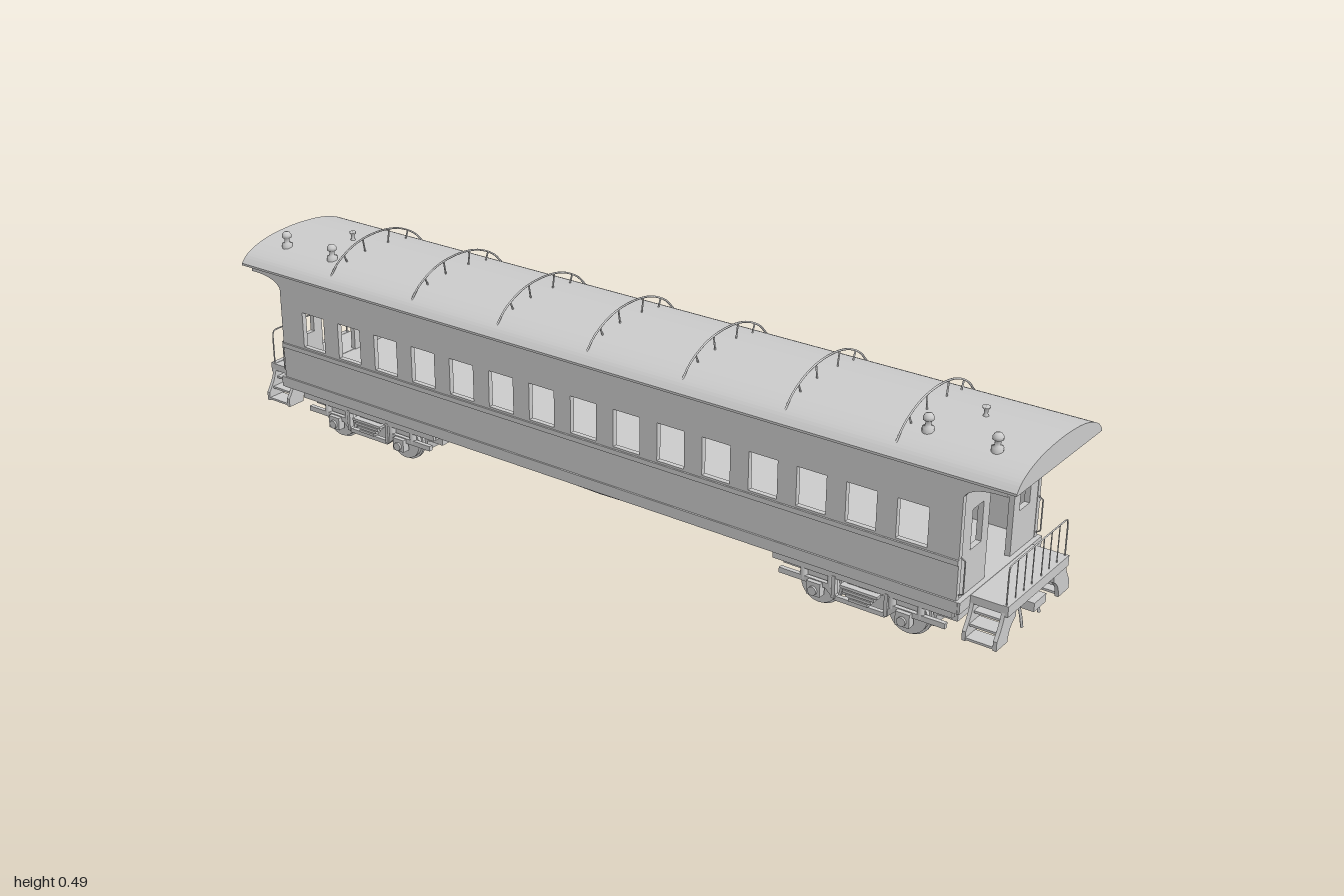
import * as THREE from 'three';

const mat = new THREE.MeshStandardMaterial({ color: 0xcccccc, side: THREE.DoubleSide });

function add(parent, name, geo, x = 0, y = 0, z = 0) {
  const m = new THREE.Mesh(geo, mat);
  m.name = name;
  m.position.set(x, y, z);
  parent.add(m);
  return m;
}
// Box given by its extents
function box(parent, name, x0, x1, y0, y1, z0, z1) {
  return add(parent, name, new THREE.BoxGeometry(x1 - x0, y1 - y0, z1 - z0),
    (x0 + x1) / 2, (y0 + y1) / 2, (z0 + z1) / 2);
}
const extrude = (shape, depth) =>
  new THREE.ExtrudeGeometry(shape, { depth, bevelEnabled: false, curveSegments: 10 });
// Profile drawn in (z, y), extruded from x0 to x1
function extrudeX(parent, name, shape, x0, x1) {
  return add(parent, name, extrude(shape, x1 - x0).rotateY(-Math.PI / 2), x1, 0, 0);
}
function rect(x0, x1, y0, y1, Type = THREE.Shape) {
  return new Type([[x0, y0], [x1, y0], [x1, y1], [x0, y1]].map(p => new THREE.Vector2(...p)));
}
const poly = pts => new THREE.Shape(pts.map(p => new THREE.Vector2(...p)));
const v3 = p => new THREE.Vector3(...p);
// Thin round bar through points, straight or smooth
function bar(parent, name, pts, r, smooth = false) {
  let curve;
  if (smooth) curve = new THREE.CatmullRomCurve3(pts.map(v3));
  else {
    curve = new THREE.CurvePath();
    for (let i = 1; i < pts.length; i++) curve.add(new THREE.LineCurve3(v3(pts[i - 1]), v3(pts[i])));
  }
  return add(parent, name, new THREE.TubeGeometry(curve, smooth ? 28 : (pts.length - 1) * 8, r, 6));
}

function buildBody(g) {
  // Side walls with fifteen windows each
  for (const s of [-1, 1]) {
    const wall = rect(-0.89, 0.89, 0.115, 0.398);
    for (let i = -7; i <= 7; i++) {
      const c = i * 0.1125;
      wall.holes.push(rect(c - 0.034, c + 0.034, 0.232, 0.317, THREE.Path));
    }
    extrudeX(g, 'sideWall', wall, s > 0 ? 0.155 : -0.167, s > 0 ? 0.167 : -0.155);
    box(g, 'beltRail', s * 0.168 - 0.003, s * 0.168 + 0.003, 0.216, 0.227, -0.89, 0.89);
    box(g, 'sideSill', s * 0.165 - 0.006, s * 0.165 + 0.006, 0.115, 0.14, -0.895, 0.895);
  }
  box(g, 'floor', -0.165, 0.165, 0.115, 0.139, -0.89, 0.89);
}

function buildRoof(g) {
  // Arched roof with a flat underside
  const s = new THREE.Shape();
  s.moveTo(-0.177, 0.397);
  s.lineTo(0.177, 0.397);
  s.lineTo(0.177, 0.402);
  s.splineThru([[0.158, 0.42], [0.12, 0.436], [0.07, 0.446], [0, 0.45],
    [-0.07, 0.446], [-0.12, 0.436], [-0.158, 0.42], [-0.177, 0.402]].map(p => new THREE.Vector2(...p)));
  s.closePath();
  const roof = new THREE.ExtrudeGeometry(s, { depth: 2, bevelEnabled: false, curveSegments: 4 });
  add(g, 'roof', roof, 0, 0, -1);

  // Hoops over the roof on short stays
  for (const z of [-0.735, -0.488, -0.243, 0, 0.243, 0.488, 0.735]) {
    bar(g, 'roofHoop', [[-0.153, 0.422, z], [-0.125, 0.449, z], [-0.07, 0.475, z], [0, 0.484, z],
      [0.07, 0.475, z], [0.125, 0.449, z], [0.153, 0.422, z]], 0.0022, true);
    for (const s2 of [-1, 1]) {
      bar(g, 'hoopStay', [[s2 * 0.038, 0.447, z], [s2 * 0.044, 0.48, z]], 0.002);
      bar(g, 'hoopStay', [[s2 * 0.098, 0.44, z], [s2 * 0.107, 0.46, z]], 0.002);
    }
  }
  // Lamp vents and small spools
  const vent = [[0.012, 0], [0.012, 0.012], [0.006, 0.014], [0.006, 0.024], [0.011, 0.027],
    [0.011, 0.033], [0.007, 0.039], [0, 0.041]].map(p => new THREE.Vector2(...p));
  for (const z of [-0.92, -0.775, 0.775, 0.92])
    add(g, 'roofVent', new THREE.LatheGeometry(vent, 14), -0.105, 0.436, z);
  const spool = [[0.007, 0], [0.004, 0.006], [0.004, 0.014], [0.008, 0.019], [0.008, 0.022], [0, 0.022]]
    .map(p => new THREE.Vector2(...p));
  for (const z of [-0.81, 0.84]) add(g, 'roofSpool', new THREE.LatheGeometry(spool, 12), 0, 0.448, z);
}

function buildEnd() {
  const g = new THREE.Group();
  g.name = 'carEnd';
  // End wall with doorway and two windows
  const wall = poly([[-0.156, 0.115], [-0.053, 0.115], [-0.053, 0.35], [0.053, 0.35],
    [0.053, 0.115], [0.156, 0.115], [0.156, 0.398], [-0.156, 0.398]]);
  for (const s of [-1, 1])
    wall.holes.push(rect(s * 0.1005 - 0.0215, s * 0.1005 + 0.0215, 0.23, 0.316, THREE.Path));
  add(g, 'endWall', extrude(wall, 0.012), 0, 0, 0.877);
  box(g, 'doorLintel', -0.055, 0.055, 0.349, 0.353, 0.875, 0.893);
  box(g, 'endSill', -0.17, 0.17, 0.115, 0.14, 0.88, 0.9);
  // Cove under the roof overhang
  const cove = new THREE.Shape();
  cove.moveTo(0.885, 0.398);
  cove.lineTo(0.978, 0.398);
  cove.lineTo(0.978, 0.385);
  cove.quadraticCurveTo(0.905, 0.387, 0.89, 0.36);
  cove.lineTo(0.885, 0.36);
  extrudeX(g, 'roofCove', cove, -0.167, 0.167);
  // Platform and railing
  box(g, 'platform', -0.128, 0.128, 0.122, 0.139, 0.89, 0.977);
  box(g, 'platformBeam', -0.128, 0.128, 0.117, 0.14, 0.968, 0.98);
  const z = 0.973;
  bar(g, 'railing', [[-0.123, 0.13, z], [-0.123, 0.21, z], [-0.12, 0.219, z], [-0.111, 0.222, z],
    [0.111, 0.222, z], [0.12, 0.219, z], [0.123, 0.21, z], [0.123, 0.13, z]], 0.0017);
  for (const x of [0.02, 0.053, 0.087]) for (const s of [-1, 1])
    bar(g, 'railingBar', [[s * x, 0.135, z], [s * x, 0.222, z]], 0.0013);
  // Flared steps at both corners
  for (const s of [-1, 1]) {
    const p = new THREE.Shape();
    p.moveTo(s * 0.08, 0.122);
    p.lineTo(s * 0.128, 0.124);
    p.quadraticCurveTo(s * 0.133, 0.1, s * 0.153, 0.073);
    p.lineTo(s * 0.153, 0.053);
    p.lineTo(s * 0.108, 0.053);
    p.quadraticCurveTo(s * 0.106, 0.085, s * 0.08, 0.097);
    for (const zz of [0.9, 0.966]) add(g, 'stepPanel', extrude(p, 0.008), 0, 0, zz);
    for (const [a, y] of [[0.112, 0.055], [0.1, 0.08], [0.085, 0.102]])
      box(g, 'stepTread', s * (a + 0.02) - 0.02, s * (a + 0.02) + 0.02, y, y + 0.005, 0.9, 0.972);
    bar(g, 'grabIron', [[s * 0.16, 0.15, 0.89], [s * 0.16, 0.155, 0.9], [s * 0.16, 0.225, 0.9], [s * 0.16, 0.23, 0.89]], 0.0015);
    bar(g, 'brakeHose', [[s * 0.037, 0.11, 0.955], [s * 0.037, 0.07, 0.965], [s * 0.036, 0.05, 0.968]], 0.003);
  }
  // Draft beam and coupler
  box(g, 'draftBeam', -0.052, 0.052, 0.07, 0.117, 0.86, 0.915);
  box(g, 'couplerShank', -0.012, 0.012, 0.085, 0.112, 0.9, 0.96);
  box(g, 'couplerHead', -0.025, 0.025, 0.084, 0.103, 0.95, 0.985);
  return g;
}

function buildTruck() {
  const g = new THREE.Group();
  g.name = 'truck';
  // Deep centre block between the axles
  const block = poly([[-0.2, 0.055], [-0.155, 0.055], [-0.15, 0.028], [-0.05, 0.028], [-0.04, 0.02],
    [0.04, 0.02], [0.05, 0.028], [0.15, 0.028], [0.155, 0.055], [0.2, 0.055], [0.2, 0.07], [-0.2, 0.07]]);
  extrudeX(g, 'truckBlock', block, -0.1, 0.1);
  box(g, 'bolster', -0.125, 0.125, 0.06, 0.118, -0.035, 0.035);
  for (const z of [-0.102, 0.102]) {
    const drum = new THREE.CylinderGeometry(0.04, 0.04, 0.2, 28).rotateZ(Math.PI / 2);
    add(g, 'axleDrum', drum, 0, 0.048, z);
    for (const s of [-1, 1]) {
      const disc = (name, r, w, x) =>
        add(g, name, new THREE.CylinderGeometry(r, r, w, 28).rotateZ(Math.PI / 2), s * x, 0.048, z);
      disc('wheelFlange', 0.048, 0.007, 0.106);
      disc('wheel', 0.043, 0.012, 0.113);
      disc('hub', 0.012, 0.02, 0.122);
      box(g, 'axleBox', s * 0.134 - 0.009, s * 0.134 + 0.009, 0.03, 0.06, z - 0.016, z + 0.016);
      add(g, 'axleCap', new THREE.CylinderGeometry(0.01, 0.01, 0.006, 12).rotateZ(Math.PI / 2), s * 0.145, 0.042, z);
      for (const d of [-0.032, 0.032])
        add(g, 'coilSpring', new THREE.CylinderGeometry(0.008, 0.008, 0.03, 10), s * 0.126, 0.07, z + d);
    }
  }
  // Side frames, equalizers and leaf springs
  const eq = poly([[-0.19, 0.062], [-0.19, 0.05], [-0.08, 0.05], [-0.058, 0.03], [0.058, 0.03], [0.08, 0.05],
    [0.19, 0.05], [0.19, 0.062], [0.075, 0.062], [0.053, 0.04], [-0.053, 0.04], [-0.075, 0.062]]);
  for (const s of [-1, 1]) {
    extrudeX(g, 'equalizer', eq, s * 0.128 - 0.005, s * 0.128 + 0.005);
    box(g, 'sideFrame', s * 0.127 - 0.008, s * 0.127 + 0.008, 0.08, 0.1, -0.205, 0.205);
    for (let i = 0; i < 4; i++)
      box(g, 'leafSpring', s * 0.132 - 0.008, s * 0.132 + 0.008, 0.043 + i * 0.008, 0.049 + i * 0.008,
        -0.022 - i * 0.007, 0.022 + i * 0.007);
    for (const z of [-0.06, 0.06])
      box(g, 'springHanger', s * 0.13 - 0.006, s * 0.13 + 0.006, 0.035, 0.085, z - 0.004, z + 0.004);
    box(g, 'endBeam', -0.127, 0.127, 0.08, 0.098, s * 0.2 - 0.006, s * 0.2 + 0.006);
  }
  return g;
}

function buildUnderframe(g) {
  // Truss rods on queen posts
  for (const x of [-0.11, -0.045, 0.045, 0.11])
    bar(g, 'trussRod', [[x, 0.114, 0.46], [x, 0.081, 0.17], [x, 0.077, 0], [x, 0.081, -0.17], [x, 0.114, -0.46]], 0.002);
  for (const z of [-0.165, 0.165]) {
    box(g, 'crossBeam', -0.15, 0.15, 0.107, 0.117, z - 0.006, z + 0.006);
    box(g, 'queenPost', -0.014, 0.014, 0.094, 0.117, z - 0.016, z + 0.016);
    for (const x of [-0.11, -0.045, 0.045, 0.11])
      box(g, 'rodPost', x - 0.003, x + 0.003, 0.08, 0.11, z - 0.003, z + 0.003);
  }
  for (const z of [-0.38, 0, 0.38]) box(g, 'crossBeam', -0.15, 0.15, 0.11, 0.117, z - 0.004, z + 0.004);
  for (const x of [-0.075, 0.075]) box(g, 'longBeam', x - 0.004, x + 0.004, 0.11, 0.117, -0.88, 0.88);
}

export function createModel() {
  const car = new THREE.Group();
  car.name = 'passengerCar';
  buildBody(car);
  buildRoof(car);
  buildUnderframe(car);
  for (const s of [-1, 1]) {
    const end = buildEnd();
    end.rotation.y = s > 0 ? 0 : Math.PI;
    const truck = buildTruck();
    truck.position.z = s * 0.663;
    car.add(end, truck);
  }
  return car;
}
